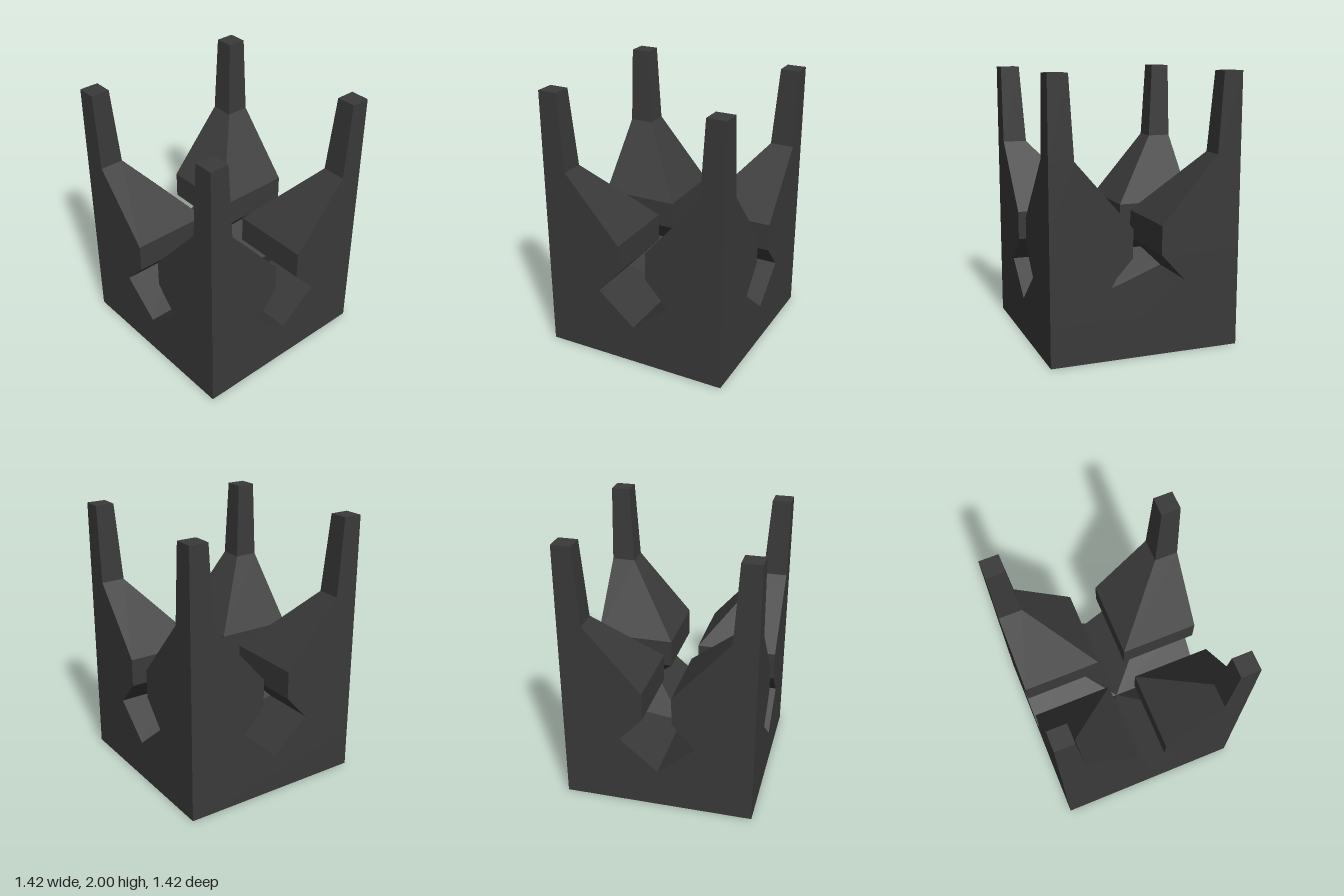
import * as THREE from 'three';

const HALF = 0.71; // half width of the square block
const FLOOR = 0.295; // height where the crossing grooves meet

// Half width of the grooves at each height: [y, halfGap]
const GROOVE = [
  [FLOOR, 0], [0.535, 0.285], [0.727, 0.109], [0.937, 0.109], [1.42, 0.53], [2, 0.567],
];

// Square section from a to HALF in x and z, counter-clockwise from above
const section = (y, a) => [[a, y, a], [a, y, HALF], [HALF, y, HALF], [HALF, y, a]];

// Joins square sections with flat sides and optional end caps
function loft(sections, { bottom = false, top = false }) {
  const positions = [];
  const quad = (a, b, c, d) => positions.push(...a, ...b, ...c, ...a, ...c, ...d);
  for (let s = 0; s < sections.length - 1; s++) {
    const low = sections[s], high = sections[s + 1];
    for (let i = 0; i < 4; i++) {
      const j = (i + 1) % 4;
      quad(low[i], low[j], high[j], high[i]);
    }
  }
  if (top) quad(...sections[sections.length - 1]);
  if (bottom) quad(...[...sections[0]].reverse());
  const geometry = new THREE.BufferGeometry();
  geometry.setAttribute('position', new THREE.Float32BufferAttribute(positions, 3));
  geometry.computeVertexNormals();
  return geometry;
}

export function createModel() {
  const model = new THREE.Group();
  model.name = 'notchedBlock';
  const material = new THREE.MeshStandardMaterial({ color: 0x3a3a3a, flatShading: true });

  // Solid square base below the grooves
  const base = new THREE.Mesh(
    loft([section(0, -HALF), section(FLOOR, -HALF)], { bottom: true }), material);
  base.name = 'base';
  model.add(base);

  // Four corner prongs left standing between the crossing grooves
  const prongGeometry = loft(GROOVE.map(([y, gap]) => section(y, gap)), { top: true });
  ['frontLeftProng', 'backLeftProng', 'backRightProng', 'frontRightProng'].forEach((name, i) => {
    const prong = new THREE.Mesh(prongGeometry, material);
    prong.name = name;
    prong.rotation.y = i * Math.PI / 2;
    model.add(prong);
  });

  return model;
}
